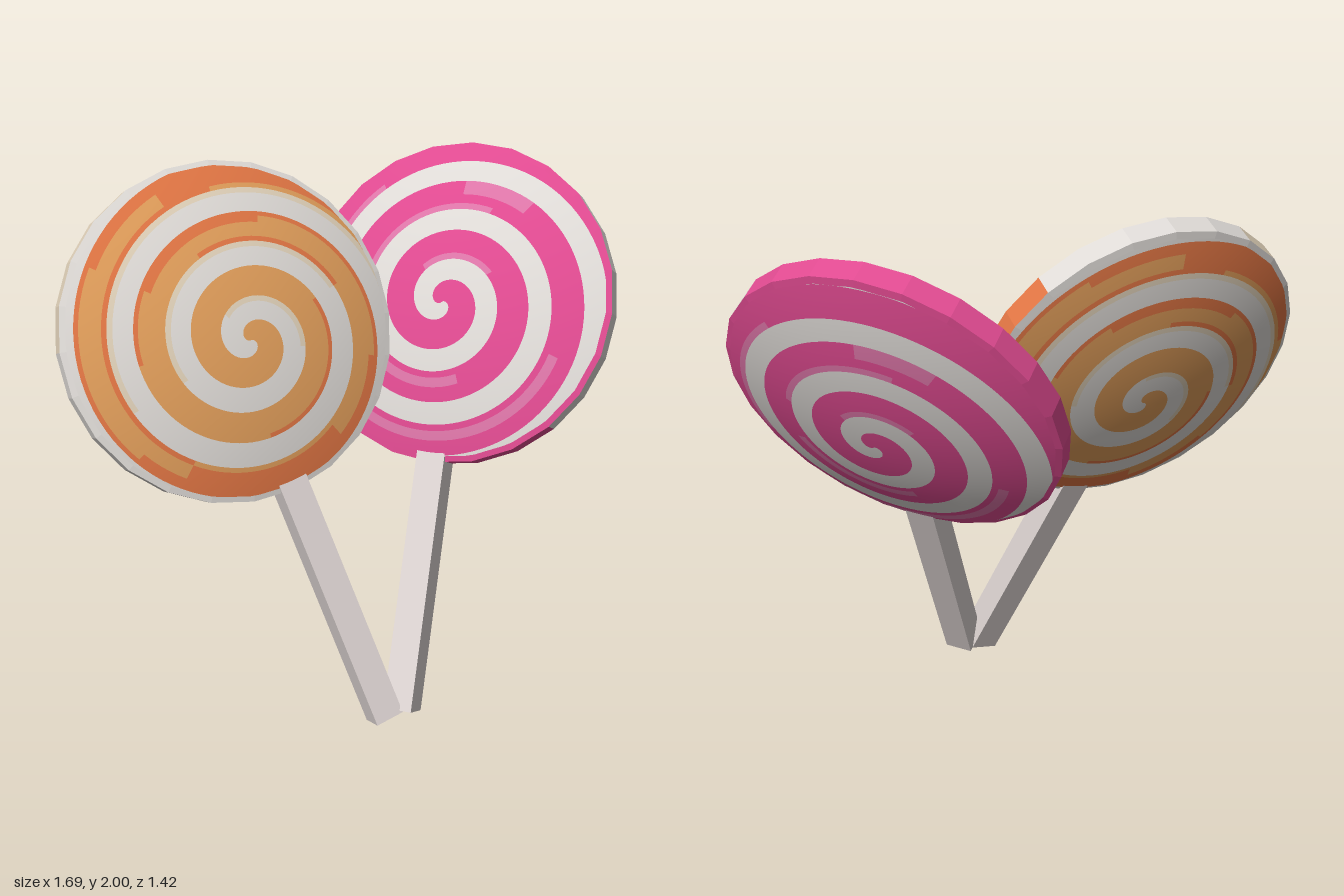
import * as THREE from 'three';

const SIDES = 24, RIM = 0.61, FACE = 0.59, PITCH = 0.195, STEPS = 96;

function material(name, color) {
  const m = new THREE.MeshStandardMaterial({ color });
  m.name = name;
  return m;
}

// Height of the domed candy face at a given radius
const dome = r => 0.05 + 0.1 * (1 - (r / FACE) ** 2);

// Radius of the many-sided face outline at a given angle
function outline(angle) {
  const s = 2 * Math.PI / SIDES;
  const a = ((angle % s) + s) % s;
  return FACE * Math.cos(s / 2) / Math.cos(a - s / 2);
}

// Domed face divided into spiral bands about an off-centre eye;
// each band picks its colour by turn
function swirlFace(name, bands, edgeAngle, eye) {
  const start = edgeAngle + 2 * Math.PI * (0.56 / PITCH - 0.22);
  const byMaterial = new Map();
  const point = (i, f) => {
    const angle = start - i * 2 * Math.PI / STEPS;
    const turnRadius = Math.max(PITCH * (i / STEPS + f), 0);
    let x = eye[0] + Math.cos(angle) * turnRadius, y = eye[1] + Math.sin(angle) * turnRadius;
    const limit = outline(Math.atan2(y, x)), r = Math.hypot(x, y);
    const clipped = r >= limit;
    if (clipped) {
      x *= limit / r;
      y *= limit / r;
    }
    const slope = 0.2 / FACE ** 2;
    const n = new THREE.Vector3(x * slope, y * slope, 1).normalize();
    return { clipped, turnRadius, p: [x, y, dome(Math.hypot(x, y))], n: n.toArray() };
  };
  for (let i = -STEPS; i < 3.8 * STEPS; i++) {
    for (const { from, to, pick } of bands) {
      const corners = [point(i, from), point(i, to), point(i + 1, to), point(i + 1, from)];
      if (corners.every(v => v.clipped) || corners.every(v => v.turnRadius === 0)) continue;
      const [a, b, c, d] = corners;
      const mat = pick(i / STEPS);
      if (!byMaterial.has(mat)) byMaterial.set(mat, { pos: [], nor: [] });
      const out = byMaterial.get(mat);
      for (const v of [a, d, c, a, c, b]) {
        out.pos.push(...v.p);
        out.nor.push(...v.n);
      }
    }
  }
  const face = new THREE.Group();
  face.name = name;
  for (const [mat, { pos, nor }] of byMaterial) {
    const g = new THREE.BufferGeometry();
    g.setAttribute('position', new THREE.Float32BufferAttribute(pos, 3));
    g.setAttribute('normal', new THREE.Float32BufferAttribute(nor, 3));
    const mesh = new THREE.Mesh(g, mat);
    mesh.name = 'swirl ' + mat.name;
    face.add(mesh);
  }
  return face;
}

// Flat-sided ring arc, counted in sides anticlockwise from the stick
function ringArc(name, profile, first, last, mat) {
  const s = 2 * Math.PI / SIDES;
  const points = profile.map(p => new THREE.Vector2(...p));
  const g = new THREE.LatheGeometry(points, last - first, first * s, (last - first) * s).toNonIndexed();
  g.computeVertexNormals();
  g.rotateX(Math.PI / 2);
  // the lathe axis now points backwards, so the profile is symmetric front to back
  const mesh = new THREE.Mesh(g, mat);
  mesh.name = name;
  return mesh;
}

// One lollipop: disc centre, stick foot and facing direction set its pose
function lollipop({ name, centre, foot, facing, bands, edgeAngle, eyes, rim, border, stickMat }) {
  const group = new THREE.Group();
  group.name = name;
  const c = new THREE.Vector3(...centre);
  const up = c.clone().sub(new THREE.Vector3(...foot));
  const length = up.length();
  up.normalize();
  const right = up.clone().cross(new THREE.Vector3(...facing)).normalize();
  const front = right.clone().cross(up);

  const backFace = swirlFace('backFace', bands, edgeAngle, eyes[1]);
  backFace.rotation.y = Math.PI;
  group.add(swirlFace('frontFace', bands, edgeAngle, eyes[0]), backFace);

  // Sloping borders of both faces, then the outer rim
  const bevel = [[RIM, 0.04], [0.575, 0.052]];
  group.add(ringArc('border', bevel, 0, SIDES, border));
  group.add(ringArc('border', bevel.map(([r, h]) => [r, -h]).reverse(), 0, SIDES, border));
  for (const [first, last, mat] of rim) {
    group.add(ringArc('rim', [[RIM, -0.04], [RIM, 0.04]], first, last, mat));
  }

  const top = 0.565;
  const stick = new THREE.Mesh(new THREE.BoxGeometry(0.11, length - top, 0.11), stickMat);
  stick.name = 'stick';
  stick.position.y = -(length + top) / 2;
  group.add(stick);

  group.quaternion.setFromRotationMatrix(new THREE.Matrix4().makeBasis(right, up, front));
  group.position.copy(c);
  return group;
}

export function createModel() {
  const white = material('sugarWhite', 0xdedad6);
  const cream = material('cream', 0xdfd0b8);
  const orange = material('orange', 0xe09d5a);
  const deep = material('deepOrange', 0xe27644);
  const pink = material('pink', 0xdf4a90);
  const rose = material('lightPink', 0xdd76a8);
  const stickMat = material('stickPaper', 0xdcd3d1);

  // Streaks swap the base colour inside given ranges of turns
  const streak = (base, accent, ranges) => t => ranges.some(([a, b]) => t >= a && t < b) ? accent : base;

  const orangeBands = [
    { from: 0, to: 0.35, pick: () => white },
    { from: 0.35, to: 0.45, pick: streak(white, cream, [[0.2, 0.6], [1.0, 1.5], [2.0, 2.7]]) },
    { from: 0.45, to: 0.54, pick: streak(orange, deep, [[1.25, 1.5], [1.9, 2.3]]) },
    { from: 0.54, to: 0.8, pick: streak(orange, deep, [[1.7, 1.9], [2.25, 2.45]]) },
    { from: 0.8, to: 0.92, pick: streak(orange, deep, [[1.15, 1.35], [1.6, 1.95], [2.15, 3.8]]) },
    { from: 0.92, to: 1, pick: streak(orange, deep, [[0.5, 0.8], [1.05, 3.8]]) },
  ];
  const pinkBands = [
    { from: 0, to: 0.42, pick: () => white },
    { from: 0.42, to: 0.54, pick: streak(pink, rose, [[0.3, 0.55], [1.2, 1.45], [2.1, 2.3]]) },
    { from: 0.54, to: 0.72, pick: streak(pink, rose, [[0.85, 1.1], [1.7, 2.0]]) },
    { from: 0.72, to: 1, pick: streak(pink, rose, [[1.4, 1.5]]) },
  ];

  const model = new THREE.Group();
  model.name = 'lollipops';
  model.add(
    lollipop({
      name: 'orangeLollipop',
      centre: [-0.285, 1.415, -0.335], foot: [-0.21, 0.03, 0.335], facing: [-0.442, 0.364, 0.819],
      bands: orangeBands, edgeAngle: -Math.PI / 4, eyes: [[0.026, -0.048], [0, -0.06]],
      rim: [[0, 5, white], [5, 8, deep], [8, 13, white], [13, 17, cream], [17, 24, white]],
      border: white, stickMat,
    }),
    lollipop({
      name: 'pinkLollipop',
      centre: [0.5, 1.415, 0.1], foot: [-0.15, 0.045, 0.37], facing: [-0.854, 0.472, 0.215],
      bands: pinkBands, edgeAngle: 0, eyes: [[0, -0.02], [-0.035, -0.08]],
      rim: [[0, 3, pink], [3, 9, white], [9, 24, pink]],
      border: pink, stickMat,
    }),
  );
  return model;
}
